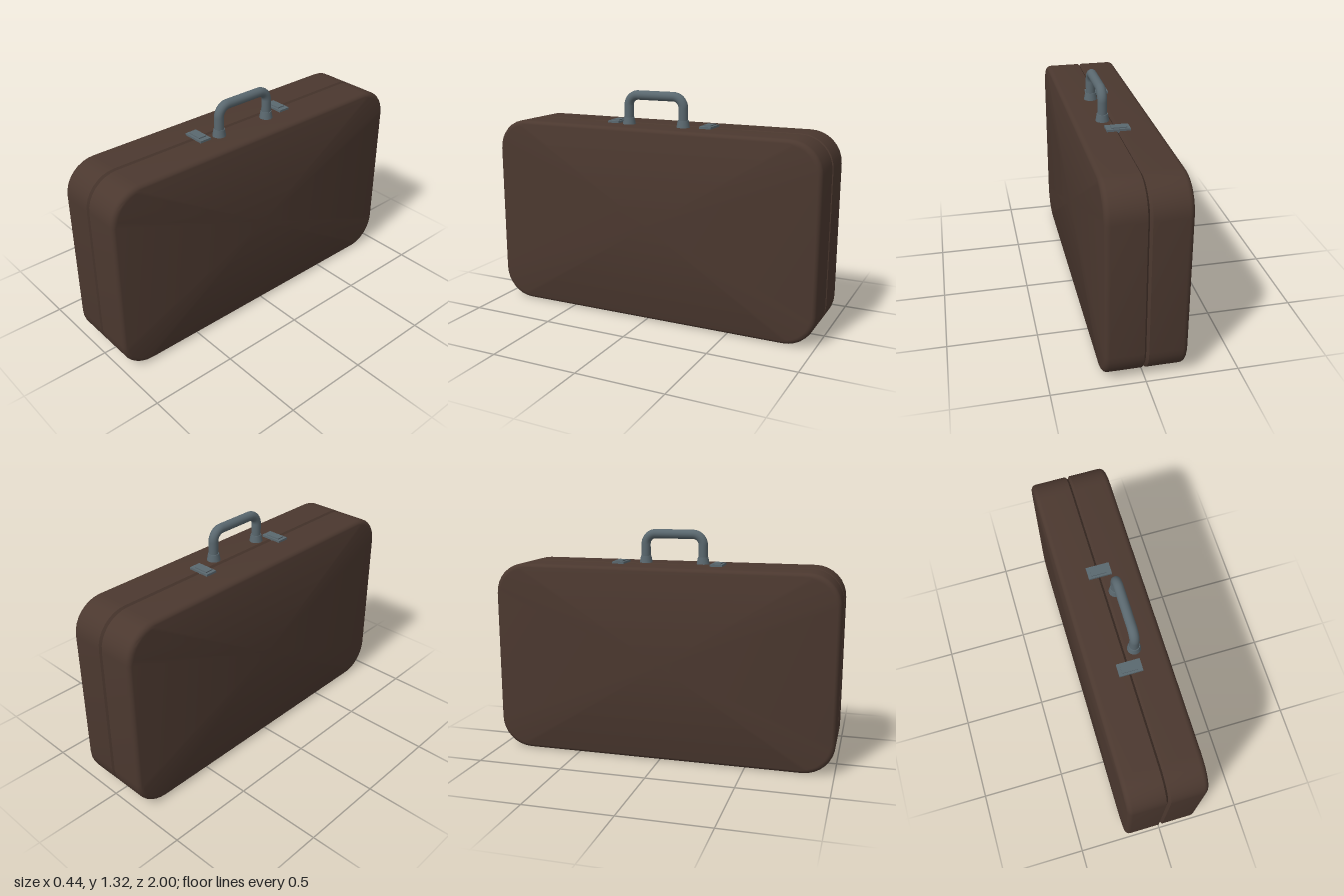
import * as THREE from 'three';
import { toCreasedNormals } from 'three/addons/utils/BufferGeometryUtils.js';

const HALF_W = 0.22, HEIGHT = 1.12, HALF_L = 1, CORNER = 0.18, EDGE = 0.03;

// Rounded rectangle in the y-z plane at a given x, pulled in by inset
function ring(x, inset, steps = 8) {
  const points = [], r = CORNER - inset;
  for (let q = 0; q < 4; q++) {
    const sz = q === 0 || q === 3 ? 1 : -1, sy = q < 2 ? 1 : -1;
    for (let s = 0; s <= steps; s++) {
      const a = (q + s / steps) * Math.PI / 2;
      points.push([x,
        HEIGHT / 2 + sy * (HEIGHT / 2 - CORNER) + r * Math.sin(a),
        sz * (HALF_L - CORNER) + r * Math.cos(a)]);
    }
  }
  return points;
}

// One half of the case: seam groove, straight wall, rounded rim, flat side
function shellGeometry() {
  const rings = [ring(0, 0.016), ring(0.012, 0)];
  for (let i = 0; i <= 5; i++) {
    const a = i / 5 * Math.PI / 2;
    rings.push(ring(HALF_W - EDGE + EDGE * Math.sin(a), EDGE * (1 - Math.cos(a))));
  }
  const n = rings[0].length, index = [];
  const centre = rings.length * n, last = centre - n;
  for (let j = 0; j < n; j++) {
    const k = (j + 1) % n;
    for (let i = 0; i < rings.length - 1; i++) {
      const a = i * n + j, b = a + n, c = (i + 1) * n + k, d = i * n + k;
      index.push(a, b, c, a, c, d);
    }
    index.push(centre, last + k, last + j);
  }
  const geometry = new THREE.BufferGeometry();
  const positions = [...rings.flat(2), HALF_W, HEIGHT / 2, 0];
  geometry.setAttribute('position', new THREE.Float32BufferAttribute(positions, 3));
  geometry.setIndex(index);
  return toCreasedNormals(geometry, 0.6);
}

export function createModel() {
  const leather = new THREE.MeshStandardMaterial({ color: 0x4b382f });
  leather.name = 'brown leather';
  const metal = new THREE.MeshStandardMaterial({ color: 0x5a686f });
  metal.name = 'grey metal';

  const model = new THREE.Group();
  model.name = 'suitcase';
  const add = (parent, name, geometry, material, x = 0, y = 0, z = 0) => {
    const mesh = new THREE.Mesh(geometry, material);
    mesh.name = name;
    mesh.position.set(x, y, z);
    parent.add(mesh);
    return mesh;
  };

  // Two matching halves meeting at the seam
  const shell = shellGeometry();
  add(model, 'leftHalf', shell, leather);
  add(model, 'rightHalf', shell, leather).rotation.y = Math.PI;

  // Carrying handle: a bent tube with a tapered collar at each foot
  const handle = new THREE.Group();
  handle.name = 'handle';
  handle.position.set(0.055, HEIGHT, 0.017);
  model.add(handle);
  const v = (y, z) => new THREE.Vector3(0, y, z);
  const top = 0.169, reach = 0.172, bend = 0.06, k = bend * 0.45;
  const path = new THREE.CurvePath();
  path.add(new THREE.LineCurve3(v(0, reach), v(top - bend, reach)));
  path.add(new THREE.CubicBezierCurve3(v(top - bend, reach), v(top - k, reach),
    v(top, reach - k), v(top, reach - bend)));
  path.add(new THREE.LineCurve3(v(top, reach - bend), v(top, bend - reach)));
  path.add(new THREE.CubicBezierCurve3(v(top, bend - reach), v(top, k - reach),
    v(top - k, -reach), v(top - bend, -reach)));
  path.add(new THREE.LineCurve3(v(top - bend, -reach), v(0, -reach)));
  add(handle, 'grip', new THREE.TubeGeometry(path, 64, 0.027, 16), metal);
  for (const side of [-1, 1]) {
    add(handle, 'collar', new THREE.CylinderGeometry(0.031, 0.038, 0.04, 16),
      metal, 0, 0.02, side * reach);
  }

  // Latches bridging the seam: base plate, raised lever and hasp
  for (const side of [-1, 1]) {
    const latch = new THREE.Group();
    latch.name = side > 0 ? 'frontLatch' : 'backLatch';
    latch.position.set(0, HEIGHT, side * 0.29);
    model.add(latch);
    add(latch, 'plate', new THREE.BoxGeometry(0.13, 0.012, 0.07), metal, 0, 0.006);
    add(latch, 'lever', new THREE.BoxGeometry(0.085, 0.007, 0.046), metal, -0.005, 0.0145);
    add(latch, 'hasp', new THREE.BoxGeometry(0.02, 0.03, 0.05), metal, 0, -0.012);
  }
  return model;
}
